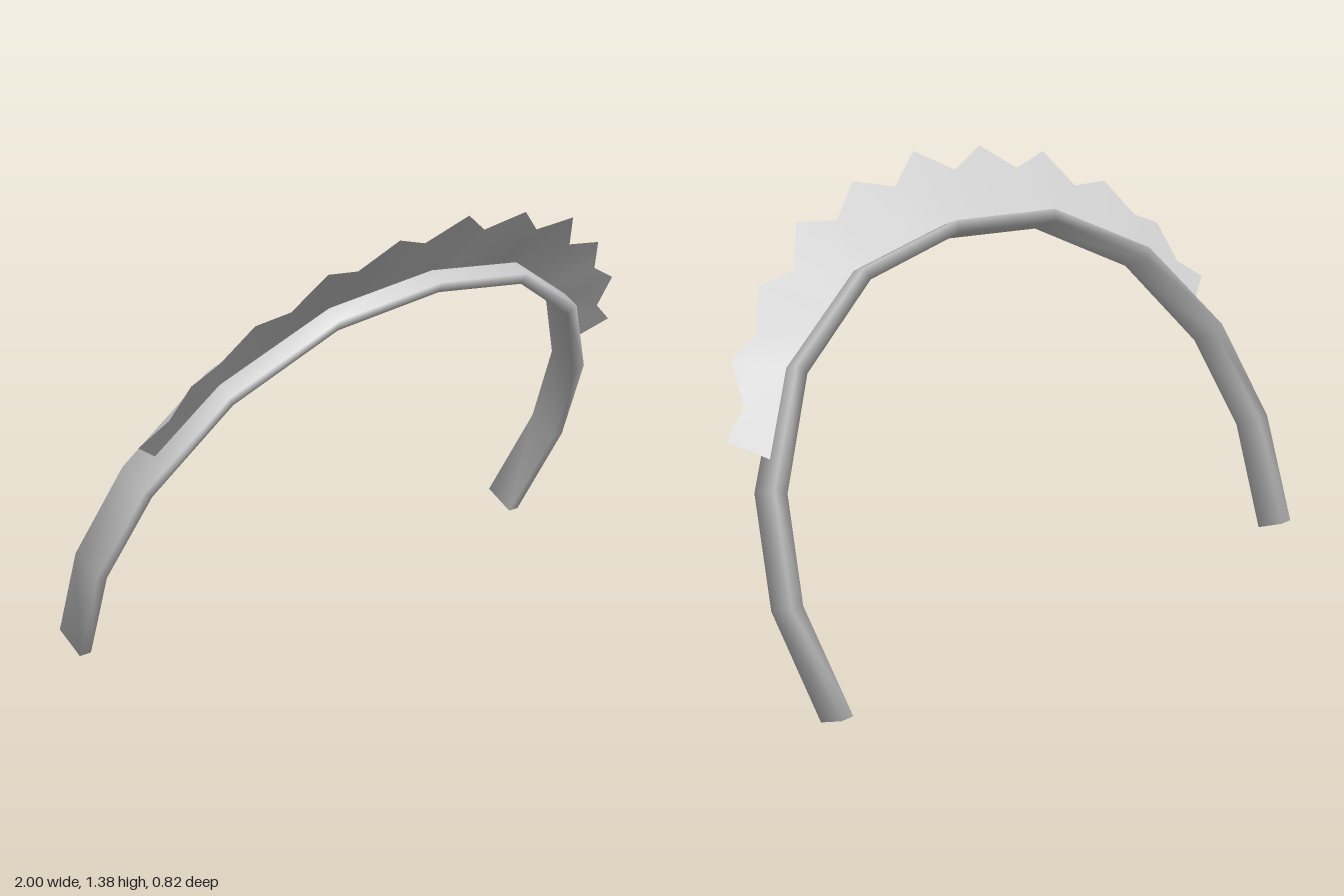
import * as THREE from 'three';

// Mirror a half outline (centre first) into a full run from -x to +x.
function mirrored(half) {
  const flip = half.slice(1).reverse().map(([x, ...rest]) => [-x, ...rest]);
  return [...flip, ...half];
}

function makeGeometry(positions, index) {
  const g = new THREE.BufferGeometry();
  g.setAttribute('position', new THREE.Float32BufferAttribute(positions, 3));
  g.setIndex(index);
  g.computeVertexNormals();
  return g;
}

// Curved band: a flat rectangular section swept along the arch, softly shaded.
function bandGeometry() {
  const outer = mirrored([[0, 1.302], [0.39, 1.245], [0.725, 1.03], [0.93, 0.707], [1.0, 0.362], [0.957, 0]]);
  const inner = mirrored([[0, 1.262], [0.38, 1.205], [0.7, 0.995], [0.893, 0.68], [0.96, 0.357], [0.915, 0]]);
  const w = 0.059;
  const positions = [];
  const index = [];
  outer.forEach((o, i) => {
    const n = inner[i];
    positions.push(...o, w, ...o, -w, ...n, -w, ...n, w);
    if (i === outer.length - 1) return;
    for (let k = 0; k < 4; k++) {
      const a = i * 4 + k, b = i * 4 + (k + 1) % 4;
      index.push(a, a + 4, b + 4, a, b + 4, b);
    }
  });
  // end caps
  const e = (outer.length - 1) * 4;
  index.push(0, 1, 2, 0, 2, 3, e, e + 2, e + 1, e, e + 3, e + 2);
  return makeGeometry(positions, index);
}

// Zigzag frill: a thin sheet from the middle of the band to a pointed rim.
function frillGeometry() {
  const rim = mirrored([
    [0, 1.38, 0.41], [0.122, 1.305, 0.35], [0.258, 1.345, 0.39], [0.367, 1.26, 0.33],
    [0.503, 1.28, 0.355], [0.575, 1.165, 0.275], [0.708, 1.15, 0.275], [0.777, 1.035, 0.198],
    [0.875, 0.985, 0.188], [0.895, 0.865, 0.105], [0.985, 0.795, 0.075], [0.878, 0.727, 0.008],
  ]);
  const base = mirrored([[0, 1.18, 0.25], [0.388, 1.13, 0.224], [0.722, 0.94, 0.122], [0.876, 0.727, 0.008]])
    .map((p) => new THREE.Vector3(...p));
  const path = new THREE.CurvePath();
  for (let i = 0; i < base.length - 1; i++) path.add(new THREE.LineCurve3(base[i], base[i + 1]));

  const positions = [];
  const index = [];
  rim.forEach((p, i) => {
    const b = path.getPoint(i / (rim.length - 1)) ?? base[base.length - 1];
    positions.push(b.x, b.y, b.z, ...p);
    if (i < rim.length - 1) {
      const a = i * 2;
      index.push(a, a + 2, a + 3, a, a + 3, a + 1);
    }
  });
  return makeGeometry(positions, index);
}

export function createModel() {
  const paleGrey = new THREE.MeshStandardMaterial({ color: 0xcccccc, side: THREE.DoubleSide });
  paleGrey.name = 'paleGrey';

  const model = new THREE.Group();
  model.name = 'frilledHeadband';

  // band leans forward
  const band = new THREE.Mesh(bandGeometry(), paleGrey);
  band.name = 'band';
  band.rotation.x = THREE.MathUtils.degToRad(27.9);
  band.position.set(0, 0.03, -0.362);

  const frill = new THREE.Mesh(frillGeometry(), paleGrey);
  frill.name = 'frill';

  model.add(band, frill);
  return model;
}
